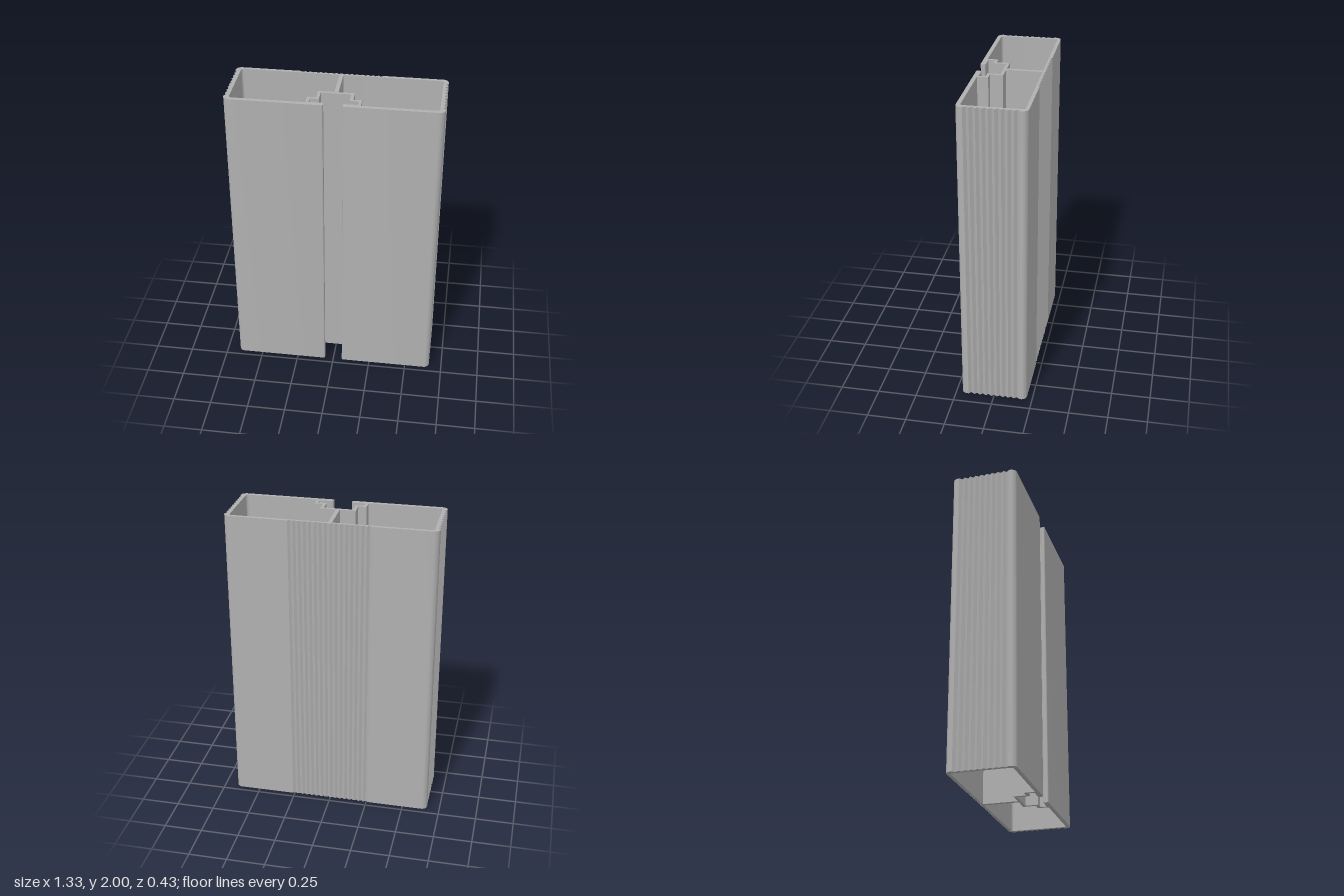
import * as THREE from 'three';
import { toCreasedNormals } from 'three/addons/utils/BufferGeometryUtils.js';

const W = 0.666, D = 0.213, HEIGHT = 2;

// Corner arc points between two angles
function arc(cx, cy, r, from, to, n = 8) {
  return Array.from({ length: n + 1 }, (_, i) => {
    const a = from + (to - from) * i / n;
    return [cx + r * Math.cos(a), cy + r * Math.sin(a)];
  });
}

// V-grooves along a straight run, cut inwards by (nx, ny)
function grooves(x0, y0, x1, y1, count, nx, ny) {
  const points = [];
  for (let i = 0; i <= count * 2; i++) {
    const t = i / (count * 2), cut = i % 2;
    points.push([x0 + (x1 - x0) * t + nx * cut, y0 + (y1 - y0) * t + ny * cut]);
  }
  return points;
}

const vectors = (points) => points.map(([x, y]) => new THREE.Vector2(x, y));
const mirror = (points) => points.map(([x, y]) => [-x, y]).reverse();

// Section plane: x across, y towards the back of the model
function createProfile() {
  const q = Math.PI / 2, r = 0.036;

  // Right half of the outside, from the slot ceiling round to the back
  const half = [
    [0.093, -0.055], [0.093, -0.137], [0.148, -0.137], [0.148, -0.18],
    ...arc(0.067, -0.188, 0.008, q, 2 * q, 4),
    ...arc(0.067, -D + 0.008, 0.008, 2 * q, 3 * q, 4),
    ...arc(W - r, -D + r, r, -q, 0),
    ...grooves(W, -0.168, W, 0.168, 9, -0.016, 0),
    ...arc(W - r, D - r, r, 0, q),
    ...grooves(0.262, D, 0, D, 8, 0, -0.011),
  ];
  const shape = new THREE.Shape(vectors([...half, ...mirror(half).slice(1)]));

  // Hollow chamber on each side of the central web
  const chamber = [
    [0.0125, -0.036], [0.113, -0.036], [0.113, -0.118], [0.166, -0.118], [0.166, -0.187],
    ...arc(0.617, -0.171, 0.016, -q, 0, 5),
    ...arc(0.617, 0.175, 0.016, 0, q, 5),
    [0.0125, 0.191],
  ];
  for (const points of [chamber, mirror(chamber)]) shape.holes.push(new THREE.Path(vectors(points)));
  return shape;
}

export function createModel() {
  const aluminium = new THREE.MeshStandardMaterial({ color: 0xb0b0b0 });
  aluminium.name = 'aluminium';

  // Extrude upwards; back of the section becomes -z
  const extrusion = new THREE.ExtrudeGeometry(createProfile(), { depth: HEIGHT, bevelEnabled: false });
  extrusion.rotateX(-Math.PI / 2);

  const profile = new THREE.Mesh(toCreasedNormals(extrusion, 0.4), aluminium);
  profile.name = 'slottedHollowProfile';

  const group = new THREE.Group();
  group.name = 'extrudedRail';
  group.add(profile);
  return group;
}
